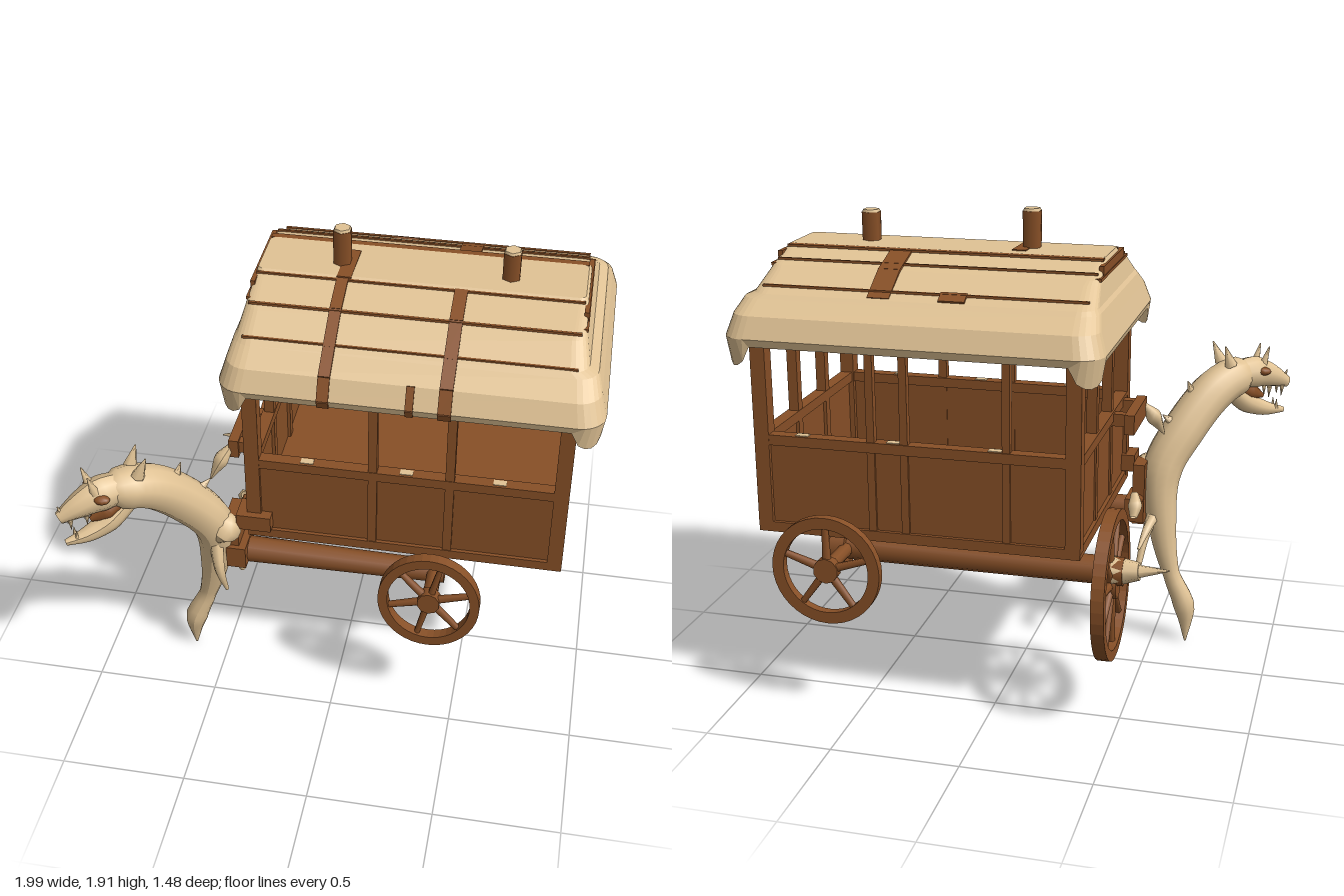
import * as THREE from 'three';

const cream = new THREE.MeshStandardMaterial({ color: 0xe1c395, side: THREE.DoubleSide });
cream.name = 'pale cream';
const brown = new THREE.MeshStandardMaterial({ color: 0x885027, side: THREE.DoubleSide });
brown.name = 'wood brown';

const V = (p) => new THREE.Vector3(...p);

export function createModel() {
  const model = new THREE.Group();

  const add = (name, geo, mat, parent = model) => {
    const m = new THREE.Mesh(geo, mat);
    m.name = name;
    parent.add(m);
    return m;
  };
  // box given by its minimum and maximum corners
  const block = (name, a, b, mat = brown) => {
    const m = add(name, new THREE.BoxGeometry(b[0] - a[0], b[1] - a[1], b[2] - a[2]), mat);
    m.position.set((a[0] + b[0]) / 2, (a[1] + b[1]) / 2, (a[2] + b[2]) / 2);
    return m;
  };
  // bar of w x h section between two points
  const bar = (name, p, q, w, h) => {
    const a = V(p), b = V(q);
    const m = add(name, new THREE.BoxGeometry(w, h, a.distanceTo(b)), brown);
    m.position.copy(a).lerp(b, 0.5);
    m.lookAt(b);
  };
  // round rod or cone between two points
  const rod = (name, p, q, r0, r1, mat = brown, sides = 10, parent = model) => {
    const a = V(p), b = V(q), d = b.clone().sub(a);
    const m = add(name, new THREE.CylinderGeometry(r1, r0, d.length(), sides), mat, parent);
    m.position.copy(a).lerp(b, 0.5);
    m.quaternion.setFromUnitVectors(new THREE.Vector3(0, 1, 0), d.normalize());
  };
  // tapering limb: a tube along points whose radius follows a list
  const limb = (name, pts, radii, mat = cream, sides = 10) => {
    const n = (pts.length - 1) * 5;
    const curve = new THREE.CatmullRomCurve3(pts.map(V));
    const g = new THREE.TubeGeometry(curve, n, 1, sides);
    const pos = g.attributes.position, v = new THREE.Vector3();
    for (let i = 0; i <= n; i++) {
      const c = curve.getPointAt(i / n);
      const t = curve.getUtoTmapping(i / n) * (radii.length - 1);
      const k = Math.min(Math.floor(t), radii.length - 2);
      const r = THREE.MathUtils.lerp(radii[k], radii[k + 1], t - k);
      for (let j = 0; j <= sides; j++) {
        const id = i * (sides + 1) + j;
        v.fromBufferAttribute(pos, id).sub(c).multiplyScalar(r).add(c);
        pos.setXYZ(id, v.x, v.y, v.z);
      }
    }
    g.computeVertexNormals();
    add(name, g, mat);
  };

  // --- cabin: floor, sills and wall panels
  const X0 = -0.37, X1 = 0.89, Z0 = -0.66, Z1 = 0.3;
  block('floor', [X0 + 0.02, 0.73, Z0 + 0.02], [X1 - 0.02, 0.77, Z1 - 0.02]);
  for (const [n, y0, y1] of [['baseRail', 0.72, 0.76], ['sill', 1.07, 1.11], ['topRail', 1.45, 1.48]]) {
    block(n + 'Front', [X0, y0, Z1 - 0.05], [X1, y1, Z1]);
    block(n + 'Back', [X0, y0, Z0], [X1, y1, Z0 + 0.05]);
    block(n + 'Left', [X1 - 0.05, y0, Z0], [X1, y1, Z1]);
    block(n + 'Right', [X0, y0, Z0], [X0 + 0.05, y1, Z1]);
  }
  const t = 0.02, s = 0.015;
  block('panelFront', [X0 + s, 0.75, Z1 - s - t], [X1 - s, 1.09, Z1 - s]);
  block('panelBack', [X0 + s, 0.75, Z0 + s], [X1 - s, 1.09, Z0 + s + t]);
  block('panelLeft', [X1 - s - t, 0.75, Z0 + s], [X1 - s, 1.09, Z1 - s]);
  block('panelRight', [X0 + s, 0.75, Z0 + s], [X0 + s + t, 1.09, Z1 - s]);
  // worn pale flecks on the sills
  for (const x of [-0.15, 0.24, 0.6]) {
    block('sillFleck', [x, 1.108, Z1 - 0.04], [x + 0.05, 1.113, Z1 - 0.01], cream);
    block('sillFleck', [x + 0.08, 1.108, Z0 + 0.01], [x + 0.13, 1.113, Z0 + 0.04], cream);
  }

  // --- posts
  const post = (x, z, w) =>
    block('post', [x - w / 2, 0.74, z - w / 2], [x + w / 2, 1.48, z + w / 2]);
  for (const x of [X0 + 0.028, X1 - 0.028]) {
    for (const z of [Z0 + 0.028, Z1 - 0.028]) post(x, z, 0.058);
    for (const z of [-0.035, -0.325]) post(x, z, 0.04);
  }
  for (const x of [0.135, 0.435]) post(x, Z1 - 0.02, 0.035);
  for (const x of [-0.09, 0.3, 0.43]) post(x, Z0 + 0.02, 0.03);
  block('postFace', [-0.105, 1.3, Z0 + 0.035], [-0.075, 1.44, Z0 + 0.04], cream);

  // --- hipped roof: rounded rectangles stacked from the drooping eave to the ridge
  const tiers = [
    [1.46, -0.44, 0.98, -0.71, 0.38], [1.49, -0.45, 0.99, -0.72, 0.39],
    [1.57, -0.425, 0.965, -0.685, 0.35], [1.62, -0.41, 0.945, -0.61, 0.27],
    [1.635, -0.4, 0.91, -0.59, 0.25], [1.7, -0.385, 0.89, -0.47, 0.145],
    [1.715, -0.38, 0.885, -0.44, 0.115], [1.757, -0.375, 0.88, -0.31, -0.02],
    [1.77, -0.37, 0.87, -0.28, -0.04],
  ];
  const verts = [], idx = [], C = 7, N = 4 * C;
  tiers.forEach(([y, xa, xb, za, zb], k) => {
    const r = 0.11 - 0.011 * k;
    for (let c = 0; c < 4; c++) for (let j = 0; j < C; j++) {
      const u = j / (C - 1), a = (c + u) * Math.PI / 2;
      const cx = c === 0 || c === 3 ? xb - r : xa + r;
      const cz = c < 2 ? zb - r : za + r;
      const droop = k === 0 ? 0.08 * Math.sqrt(Math.max(0, Math.sin(Math.PI * u))) : 0;
      verts.push(cx + r * Math.cos(a), y - droop, cz + r * Math.sin(a));
    }
  });
  for (let k = 0; k < tiers.length - 1; k++) for (let i = 0; i < N; i++) {
    const a = k * N + i, b = k * N + (i + 1) % N;
    idx.push(a, a + N, b, b, a + N, b + N);
  }
  const last = (tiers.length - 1) * N;
  for (let i = 1; i < N - 1; i++) idx.push(last, last + i + 1, last + i);
  let roof = new THREE.BufferGeometry();
  roof.setAttribute('position', new THREE.Float32BufferAttribute(verts, 3));
  roof.setIndex(idx);
  roof = roof.toNonIndexed();
  roof.computeVertexNormals();
  add('roof', roof, cream);

  // --- roof seams along the length and bands over the slope
  const seams = [[0.24, 1.64, 0.01], [0.12, 1.715, 0.012], [-0.025, 1.76, 0.01],
    [-0.295, 1.765, 0.03], [-0.4, 1.732, 0.01], [-0.55, 1.66, 0.012]];
  for (const [z, y, w] of seams) bar('roofSeam', [-0.37, y, z], [0.87, y, z], w, 0.009);
  const slope = [[-0.03, 1.762], [0.115, 1.717], [0.25, 1.637], [0.35, 1.572], [0.39, 1.49], [0.38, 1.46]];
  const band = (x, w, from, to, mirror) => {
    for (let i = from; i < to; i++) {
      const [p, q] = [slope[i], slope[i + 1]].map(([z, y]) => [x, y, mirror ? -0.33 - z : z]);
      bar('roofBand', p, q, w, 0.012);
    }
  };
  band(-0.04, 0.045, 0, 5, false);
  band(0.41, 0.05, 0, 5, false);
  band(0.41, 0.085, 0, 2, true);
  band(0.28, 0.03, 3, 5, false);
  bar('ridgeBand', [-0.03, 1.77, -0.23], [-0.035, 1.768, -0.03], 0.055, 0.008);
  for (const x of [-0.374, 0.879]) {
    bar('roofEndBoard', [x, 1.733, -0.36], [x, 1.733, 0.03], 0.018, 0.04);
    bar('roofEndSeam', [x, 1.713, -0.42], [x, 1.713, 0.09], 0.025, 0.012);
  }
  block('roofPatch', [0.08, 1.65, -0.59], [0.18, 1.658, -0.54]).rotation.x = -0.49;

  // --- chimneys
  for (const [x, y] of [[-0.06, 1.91], [0.585, 1.88]]) {
    rod('chimney', [x, 1.74, -0.14], [x, y, -0.14], 0.037, 0.038, brown, 6);
    rod('chimneyCap', [x, y, -0.14], [x, y + 0.01, -0.14], 0.036, 0.032, cream, 6);
  }

  // --- wheels: ring extruded along z, spokes and hub
  const wheel = (name, r, thick, spokes, rim) => {
    const g = new THREE.Group();
    g.name = name;
    const shape = new THREE.Shape().absarc(0, 0, r, 0, Math.PI * 2);
    shape.holes.push(new THREE.Path().absarc(0, 0, r - rim, 0, Math.PI * 2, true));
    const geo = new THREE.ExtrudeGeometry(shape, { depth: thick, bevelEnabled: false, curveSegments: 20 });
    add('rim', geo.translate(0, 0, -thick / 2), brown, g);
    for (let i = 0; i < spokes; i++) {
      const a = (i + 0.25) / spokes * Math.PI * 2, d = r - rim / 2;
      rod('spoke', [0, 0, 0], [Math.cos(a) * d, Math.sin(a) * d, 0], 0.018, 0.013, brown, 6, g);
    }
    rod('hub', [0, 0, -thick * 0.55], [0, 0, thick * 0.55], 0.05, 0.05, brown, 10, g);
    model.add(g);
    return g;
  };
  const front = wheel('frontWheel', 0.225, 0.045, 6, 0.042);
  front.position.set(0.39, 0.613, 0.44);
  front.scale.x = 0.9;
  wheel('backWheel', 0.215, 0.035, 5, 0.045).position.set(0.597, 0.61, -0.72);
  const big = wheel('endWheel', 0.27, 0.05, 10, 0.038);
  big.position.set(-0.45, 0.553, -0.465);
  big.rotation.y = Math.PI / 2;
  big.scale.y = 1.09;

  // --- undercarriage
  rod('frontBeam', [-0.44, 0.6, 0.25], [0.43, 0.6, 0.25], 0.055, 0.045, brown, 8);
  rod('backBeam', [-0.5, 0.61, -0.465], [0.68, 0.61, -0.465], 0.055, 0.055, brown, 10);
  rod('backBeamCollar', [0.6, 0.61, -0.465], [0.66, 0.61, -0.465], 0.078, 0.078);
  rod('frontAxle', [0.39, 0.61, 0.22], [0.39, 0.61, 0.46], 0.03, 0.03);
  rod('backAxle', [0.6, 0.61, -0.46], [0.6, 0.61, -0.73], 0.028, 0.028);
  block('frontBracket', [0.36, 0.6, 0.2], [0.43, 0.74, 0.27]);
  block('backBracket', [0.57, 0.6, -0.5], [0.64, 0.74, -0.43]);
  for (const x of [-0.3, 0.2, 0.72]) block('underCross', [x, 0.705, Z0 + 0.08], [x + 0.05, 0.73, Z1 - 0.06]);
  for (const z of [-0.5, 0.12]) block('underRail', [-0.3, 0.7, z], [0.77, 0.73, z + 0.05]);
  rod('hubSpike', [-0.46, 0.61, -0.465], [-0.56, 0.62, -0.47], 0.06, 0.035, cream, 7);
  rod('hubSpikeTip', [-0.54, 0.62, -0.475], [-0.67, 0.625, -0.45], 0.03, 0.003, cream, 6);

  // --- hitch joining the cabin to the animal
  block('hitchBlock', [-0.41, 0.77, 0.22], [-0.27, 0.84, 0.33]);
  block('hitchPost', [-0.46, 0.55, 0.19], [-0.41, 0.81, 0.31]);
  block('hitchFoot', [-0.46, 0.56, 0.18], [-0.38, 0.66, 0.33]);
  block('sillBar', [-0.46, 1.03, -0.09], [-0.42, 1.11, 0.2]);
  for (const z of [-0.05, 0.15]) block('sillStub', [-0.44, 1.05, z], [-0.35, 1.1, z + 0.04]);

  // --- animal: leg, chest and neck in one sweep
  limb('neckAndLeg', [[-0.645, 0.01, 0.245], [-0.635, 0.17, 0.25], [-0.575, 0.32, 0.245], [-0.53, 0.52, 0.26],
    [-0.515, 0.76, 0.3], [-0.59, 0.92, 0.37], [-0.7, 1.07, 0.48], [-0.79, 1.12, 0.57], [-0.85, 1.12, 0.62]],
    [0.004, 0.048, 0.036, 0.06, 0.085, 0.09, 0.09, 0.085, 0.03], cream, 12);
  limb('shoulder', [[-0.43, 0.72, 0.3], [-0.46, 0.76, 0.32], [-0.52, 0.8, 0.33]], [0.04, 0.07, 0.04]);

  // --- head and jaws
  limb('upperJaw', [[-0.77, 1.12, 0.55], [-0.85, 1.125, 0.62], [-0.92, 1.1, 0.675], [-0.985, 1.065, 0.72]],
    [0.06, 0.07, 0.05, 0.025]);
  limb('lowerJaw', [[-0.76, 1.06, 0.55], [-0.83, 0.99, 0.61], [-0.9, 0.955, 0.665], [-0.975, 0.94, 0.715]],
    [0.04, 0.045, 0.032, 0.012]);
  limb('mouth', [[-0.79, 1.07, 0.575], [-0.84, 1.04, 0.615], [-0.89, 1.015, 0.65]], [0.035, 0.04, 0.01], brown, 8);
  const side = V([0.62, 0, 0.78]).normalize();
  for (const k of [-1, 1]) {
    const at = (p, d) => [p[0] + side.x * d * k, p[1], p[2] + side.z * d * k];
    const eye = add('eye', new THREE.SphereGeometry(0.026, 10, 6), brown);
    eye.position.set(...at([-0.86, 1.14, 0.63], 0.054));
    eye.scale.set(1.3, 0.7, 1);
    rod('ear', at([-0.74, 1.18, 0.53], 0.04), at([-0.71, 1.265, 0.52], 0.05), 0.028, 0.003, cream, 6);
    rod('brow', at([-0.87, 1.16, 0.64], 0.03), at([-0.89, 1.24, 0.65], 0.035), 0.02, 0.003, cream, 6);
    for (const [x, z] of [[-0.955, 0.7], [-0.905, 0.66]])
      rod('tooth', at([x, 1.06, z], 0.022), at([x, 1.01, z], 0.018), 0.011, 0.001, cream, 5);
    rod('lowerTooth', at([-0.94, 0.95, 0.69], 0.012), at([-0.94, 0.995, 0.69], 0.014), 0.01, 0.001, cream, 5);
  }
  rod('noseHorn', [-0.97, 1.07, 0.71], [-0.985, 1.12, 0.72], 0.015, 0.002, cream, 6);

  // --- mane spikes and dangling tendrils
  for (const [p, q] of [[[-0.62, 1.06, 0.42], [-0.6, 1.13, 0.39]], [[-0.55, 0.96, 0.34], [-0.51, 1.0, 0.31]]])
    rod('maneSpike', p, q, 0.025, 0.002, cream, 6);
  limb('shoulderSpike', [[-0.53, 0.94, 0.24], [-0.49, 1.02, 0.21], [-0.45, 1.08, 0.18]], [0.004, 0.035, 0.01], cream, 6);
  limb('tendril', [[-0.5, 0.7, 0.33], [-0.48, 0.57, 0.37], [-0.46, 0.45, 0.35]], [0.03, 0.022, 0.008], cream, 6);
  limb('tendril', [[-0.5, 0.6, 0.25], [-0.47, 0.5, 0.19], [-0.45, 0.37, 0.13]], [0.03, 0.018, 0.012], cream, 6);
  limb('tendril', [[-0.5, 0.58, 0.24], [-0.48, 0.54, 0.15], [-0.46, 0.48, 0.08]], [0.025, 0.018, 0.006], cream, 6);
  limb('hook', [[-0.44, 0.73, 0.07], [-0.45, 0.69, 0.03], [-0.45, 0.65, 0.0]], [0.015, 0.03, 0.015], cream, 6);
  rod('hookArm', [-0.44, 0.66, 0.2], [-0.44, 0.7, 0.04], 0.02, 0.015, brown, 6);
  return model;
}
